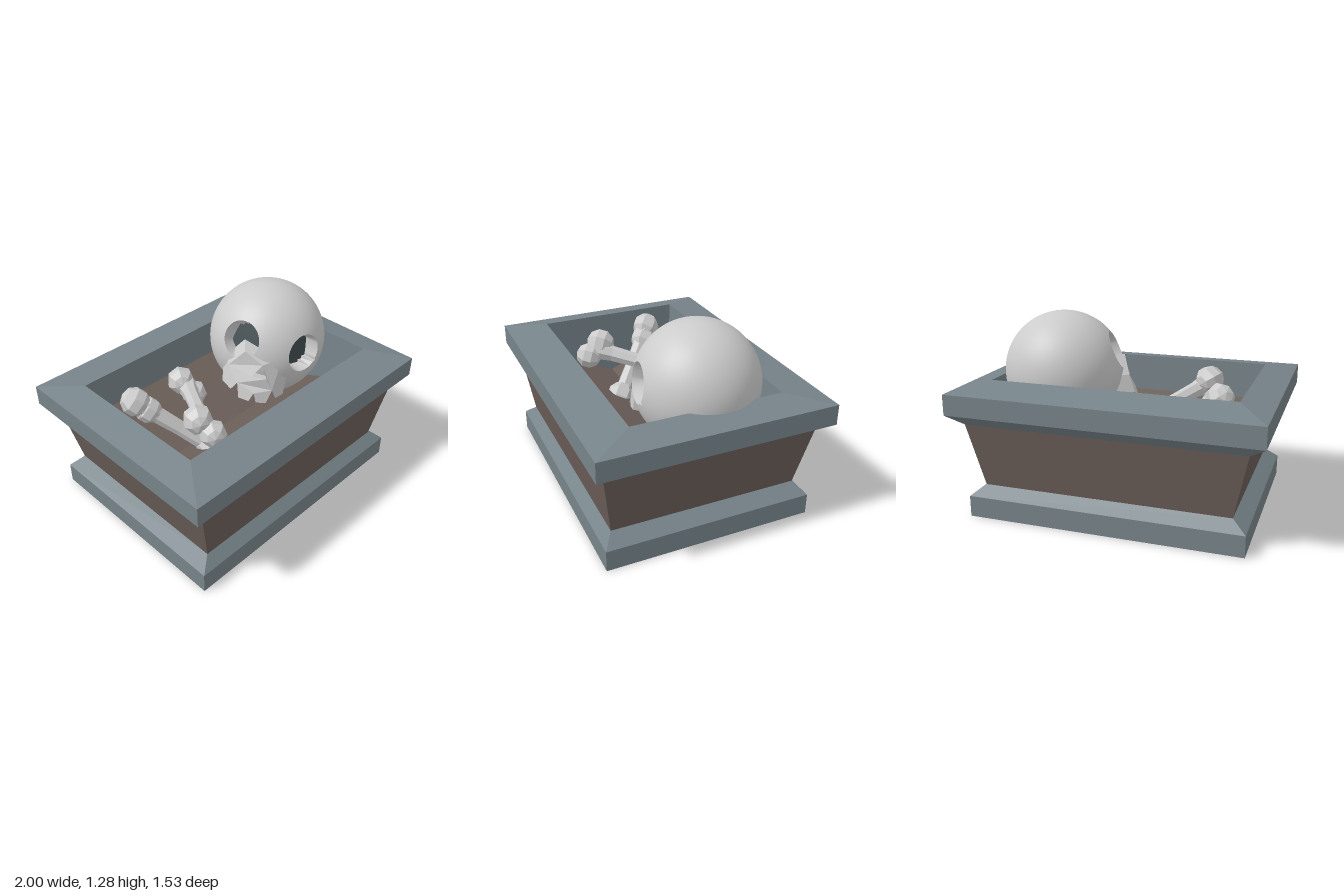
import * as THREE from 'three';
import { toCreasedNormals } from 'three/addons/utils/BufferGeometryUtils.js';

const material = (color, extra = {}) => new THREE.MeshStandardMaterial({ color, ...extra });

function addMesh(parent, name, geometry, mat) {
  const mesh = new THREE.Mesh(geometry, mat);
  mesh.name = name;
  parent.add(mesh);
  return mesh;
}

// Lofts rectangular rings [halfX, halfZ, y] with hard edges
function loftRectangles(rings) {
  const corners = [[1, 1], [1, -1], [-1, -1], [-1, 1]];
  const at = (r, i) => [corners[i % 4][0] * r[0], r[2], corners[i % 4][1] * r[1]];
  const positions = [];
  for (let k = 0; k < rings.length - 1; k++) {
    for (let i = 0; i < 4; i++) {
      const a = at(rings[k], i), b = at(rings[k], i + 1);
      const c = at(rings[k + 1], i + 1), d = at(rings[k + 1], i);
      positions.push(...a, ...b, ...c, ...a, ...c, ...d);
    }
  }
  const g = new THREE.BufferGeometry();
  g.setAttribute('position', new THREE.Float32BufferAttribute(positions, 3));
  g.computeVertexNormals();
  return g;
}

// Valley-shaped floor, low along z = 0
function valleyFloor() {
  const g = new THREE.PlaneGeometry(1.6, 0.99, 1, 2).rotateX(-Math.PI / 2).toNonIndexed();
  const p = g.attributes.position;
  for (let i = 0; i < p.count; i++) p.setY(i, Math.abs(p.getZ(i)) > 0.1 ? 0.63 : 0.42);
  g.computeVertexNormals();
  return g;
}

// Round skull cap with two crisp eye sockets pressed in
function craniumGeometry(radius, eyes, socketAngle) {
  const g = new THREE.SphereGeometry(1, 80, 60);
  const p = g.attributes.position;
  const d = new THREE.Vector3(), t = new THREE.Vector3();
  for (let i = 0; i < p.count; i++) {
    d.fromBufferAttribute(p, i);
    let sunk = null;
    for (const e of eyes) {
      const angle = d.angleTo(e);
      if (Math.abs(angle - socketAngle) < 0.04) {
        t.copy(d).addScaledVector(e, -d.dot(e)).normalize();
        d.copy(e).multiplyScalar(Math.cos(socketAngle)).addScaledVector(t, Math.sin(socketAngle));
      } else if (angle < socketAngle) sunk = e;
    }
    d.multiplyScalar(radius);
    if (sunk) d.addScaledVector(sunk, -0.12);
    p.setXYZ(i, d.x, d.y, d.z);
  }
  g.deleteAttribute('uv');
  g.deleteAttribute('normal');
  return toCreasedNormals(g, 0.5);
}

// Upper jaw with a nose opening and notched teeth
function upperJawGeometry() {
  const shape = new THREE.Shape([
    [-0.13, 0.06], [-0.21, -0.08], [-0.22, -0.2], [-0.16, -0.22], [-0.13, -0.16],
    [-0.1, -0.25], [-0.03, -0.25], [-0.01, -0.19], [0.02, -0.25], [0.09, -0.25],
    [0.11, -0.16], [0.15, -0.22], [0.2, -0.2], [0.19, -0.08], [0.12, 0.06],
  ].map(([x, y]) => new THREE.Vector2(x, y)));
  shape.holes.push(new THREE.Path([[-0.05, -0.08], [0, 0.01], [0.05, -0.08]].map(([x, y]) => new THREE.Vector2(x, y))));
  const g = new THREE.ExtrudeGeometry(shape, { depth: 0.3, bevelEnabled: false });
  const p = g.attributes.position;
  for (let i = 0; i < p.count; i++) {
    const x = p.getX(i), y = p.getY(i);
    p.setZ(i, p.getZ(i) + 0.18 - 0.25 * (y + 0.25) - 2 * x * x);
  }
  g.computeVertexNormals();
  return g;
}

function makeSkull(bone, dark) {
  const skull = new THREE.Group();
  skull.name = 'skull';
  const eyes = [-1, 1].map((s) => new THREE.Vector3(s * 0.2, 0.09, 0.28).normalize());
  addMesh(skull, 'cranium', craniumGeometry(0.4, eyes, 0.33), bone);
  for (const e of eyes) {
    const socket = addMesh(skull, 'eyeSocket', new THREE.CircleGeometry(0.115, 16), dark);
    socket.position.copy(e).multiplyScalar(0.29);
    socket.quaternion.setFromUnitVectors(new THREE.Vector3(0, 0, 1), e);
  }
  addMesh(skull, 'upperJaw', upperJawGeometry(), bone).position.x = -0.05;
  skull.position.set(0.465, 0.883, -0.09);
  skull.rotation.set(0, -Math.PI / 4, -0.24, 'YXZ');
  return skull;
}

// Faceted long bone between two points, with a pair of knobs on each end
function makeBone(name, start, end, knobOffset, mat) {
  const bone = new THREE.Group();
  bone.name = name;
  const a = new THREE.Vector3(...start), b = new THREE.Vector3(...end);
  const axis = b.clone().sub(a);
  const length = axis.length();
  axis.normalize();
  const profile = [[0.075, 0], [0.055, 0.2], [0.05, 0.5], [0.055, 0.8], [0.075, 1]]
    .map(([r, y]) => new THREE.Vector2(r, (y - 0.5) * length));
  const shaft = addMesh(bone, 'shaft', new THREE.LatheGeometry(profile, 7), mat);
  shaft.position.copy(a).lerp(b, 0.5);
  shaft.quaternion.setFromUnitVectors(new THREE.Vector3(0, 1, 0), axis);
  const offset = new THREE.Vector3(...knobOffset);
  for (const tip of [a, b]) {
    for (const s of [-1, 1]) {
      const knob = addMesh(bone, 'knob', new THREE.SphereGeometry(s > 0 ? 0.098 : 0.09, 7, 5), mat);
      knob.position.copy(tip).addScaledVector(offset, s);
      knob.quaternion.copy(shaft.quaternion);
    }
  }
  return bone;
}

export function createModel() {
  const model = new THREE.Group();
  model.name = 'stoneBoxWithBones';
  const stone = material(0x77848a);
  const brown = material(0x6c5f5a);
  const dark = material(0x3f4a4d);
  const bone = material(0xcccccc);
  const facetedBone = material(0xcccccc, { flatShading: true });

  // Box
  addMesh(model, 'base', loftRectangles([[0, 0, 0], [0.9, 0.69, 0], [0.9, 0.69, 0.14], [0.81, 0.625, 0.21]]), stone);
  addMesh(model, 'body', loftRectangles([[0.81, 0.625, 0.21], [0.9, 0.69, 0.63]]), brown);
  addMesh(model, 'rim', loftRectangles([
    [0.9, 0.69, 0.63], [1, 0.765, 0.7], [1, 0.765, 0.835], [0.8, 0.495, 0.88], [0.79, 0.485, 0.42],
  ]), stone);
  addMesh(model, 'floor', valleyFloor(), brown);

  // Contents
  model.add(makeSkull(bone, dark));
  model.add(makeBone('upperBone', [-0.455, 0.78, 0.25], [-0.12, 0.63, -0.29], [-0.015, 0.035, -0.05], facetedBone));
  model.add(makeBone('buriedBone', [-0.595, 0.775, -0.19], [-0.27, 0.42, 0.15], [-0.03, 0.035, -0.025], facetedBone));
  return model;
}
